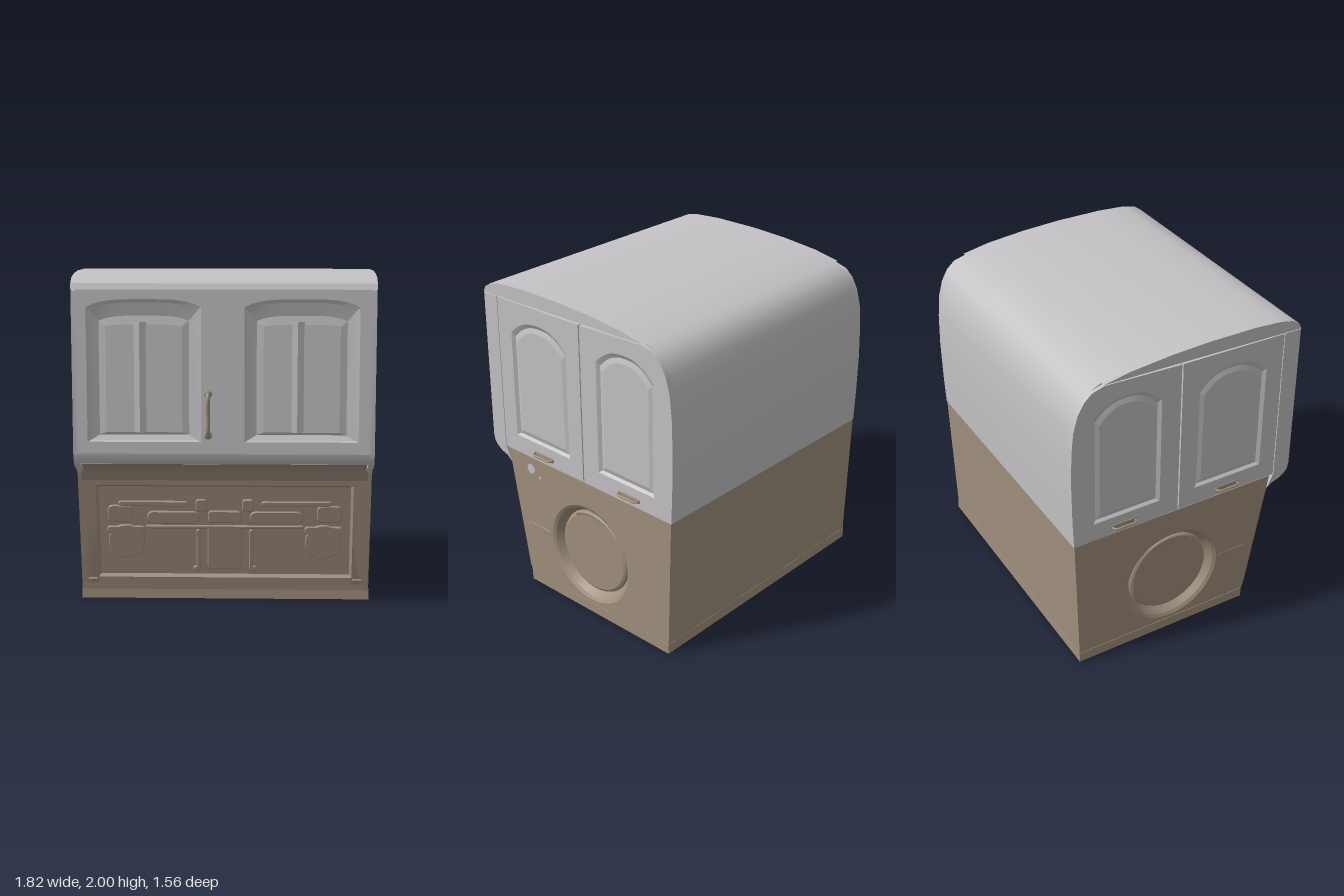
import * as THREE from 'three';
import { toCreasedNormals } from 'three/addons/utils/BufferGeometryUtils.js';

const grey = new THREE.MeshStandardMaterial({ color: 0xc4c2c5 });
grey.name = 'shellGrey';
const brown = new THREE.MeshStandardMaterial({ color: 0xa0907e });
brown.name = 'bodyBrown';

const V = (x, y, z = 0) => new THREE.Vector3(x, y, z);

function add(parent, name, geo, mat, x = 0, y = 0, z = 0) {
  const m = new THREE.Mesh(geo, mat);
  m.name = name;
  m.position.set(x, y, z);
  parent.add(m);
  return m;
}

// Plate from an outline with optional holes, spanning z0..z1
function plate(outline, z0, z1, holes = []) {
  const s = new THREE.Shape(outline.map(p => new THREE.Vector2(p[0], p[1])));
  for (const h of holes) s.holes.push(new THREE.Path(h.map(p => new THREE.Vector2(p[0], p[1]))));
  const g = new THREE.ExtrudeGeometry(s, { depth: z1 - z0, bevelEnabled: false });
  g.translate(0, 0, z0);
  return toCreasedNormals(g, 0.55);
}

// Counter-clockwise panel outline with a curved top
function arched(x0, x1, y0, y1, drop, power) {
  const pts = [[x0, y0], [x1, y0]], n = 16;
  for (let i = 0; i <= n; i++) {
    const t = 1 - 2 * i / n;
    pts.push([(x0 + x1) / 2 + t * (x1 - x0) / 2, y1 - drop * Math.abs(t) ** power]);
  }
  return pts;
}

function circle(cx, cy, r, n = 48) {
  return Array.from({ length: n }, (_, i) => {
    const a = i / n * Math.PI * 2;
    return [cx + r * Math.cos(a), cy + r * Math.sin(a)];
  });
}

// Sloped rings between outlines at given depths, closed by a flat face
function pressed(levels) {
  const pos = [], put = (...ps) => ps.forEach(p => pos.push(...p));
  const loops = levels.map(([pts, d]) => pts.map(p => [p[0], p[1], d]));
  const n = loops[0].length, last = loops[loops.length - 1];
  const mid = [0, 1, 2].map(k => last.reduce((s, p) => s + p[k], 0) / n);
  for (let j = 0; j < n; j++) {
    const k = (j + 1) % n;
    for (let i = 0; i + 1 < loops.length; i++) {
      const a = loops[i], b = loops[i + 1];
      put(a[j], a[k], b[k], a[j], b[k], b[j]);
    }
    put(last[j], last[k], mid);
  }
  const g = new THREE.BufferGeometry();
  g.setAttribute('position', new THREE.Float32BufferAttribute(pos, 3));
  return toCreasedNormals(g, 0.14);
}

// Low rounded relief with a soft edge
function emboss(w, h, r, height = 0.008) {
  const s = new THREE.Shape(), x = w / 2, y = h / 2;
  s.absarc(x - r, y - r, r, 0, Math.PI / 2);
  s.absarc(-x + r, y - r, r, Math.PI / 2, Math.PI);
  s.absarc(-x + r, -y + r, r, Math.PI, Math.PI * 1.5);
  s.absarc(x - r, -y + r, r, Math.PI * 1.5, Math.PI * 2);
  return new THREE.ExtrudeGeometry(s, { depth: height / 2, curveSegments: 8, bevelSize: 0.006, bevelOffset: -0.006, bevelThickness: height / 2, bevelSegments: 1 });
}

// Bracket-shaped grip lying along local x, standing out along z
function grip(length, out, r) {
  const l = length / 2;
  const path = new THREE.CatmullRomCurve3([V(-l, 0, -0.005), V(-l, 0, out * 0.5), V(-l * 0.8, 0, out), V(0, 0, out), V(l * 0.8, 0, out), V(l, 0, out * 0.5), V(l, 0, -0.005)]);
  return new THREE.TubeGeometry(path, 32, r, 10);
}

const flip = pts => pts.map(([z, y]) => [-z, y]);

// Side profile of the roof, front to back, as (z, y)
const roof = [[0.73, 1.9], [0.715, 1.935], [0.67, 1.965], [0.58, 1.985], [0.4, 1.998], [0.1, 2], [-0.15, 1.99], [-0.4, 1.967], [-0.57, 1.935], [-0.64, 1.905], [-0.69, 1.86], [-0.73, 1.79], [-0.758, 1.69], [-0.772, 1.55], [-0.778, 1.35], [-0.775, 1.1], [-0.768, 0.9]];

function side() {
  const g = new THREE.Group();
  // Upper plates
  add(g, 'roofEdge', plate(flip(roof.slice(0, 9)), 0.84, 0.877), grey);
  add(g, 'cornerPost', plate(flip([[0.73, 1.895], [0.62, 1.897], [0.62, 0.905], [0.575, 0.81], [0.61, 0.84], [0.66, 0.855], [0.7, 0.88], [0.722, 0.91], [0.73, 0.95]]), 0.84, 0.875), grey);
  const doors = [
    ['frontSideDoor', [[0.615, 0.905], [0.615, 1.896], [-0.066, 1.908], [-0.066, 0.905]], -0.505, -0.04, 1.8, -0.27],
    ['rearSideDoor', [[-0.075, 0.905], [-0.075, 1.908], [-0.56, 1.928], ...roof.slice(9)], 0.2, 0.64, 1.825, 0.44],
  ];
  for (const [name, outline, x0, x1, top, hx] of doors) {
    const rim = arched(x0, x1, 1.02, top, 0.1, 2.4);
    add(g, name, plate(flip(outline), 0.845, 0.875, [rim]), grey);
    add(g, name + 'Panel', pressed([
      [rim, 0.875],
      [arched(x0 + 0.02, x1 - 0.02, 1.035, top - 0.025, 0.1, 2.4), 0.86],
      [arched(x0 + 0.045, x1 - 0.045, 1.065, top - 0.055, 0.095, 2.4), 0.869],
    ]), grey);
    add(g, name + 'HandlePlate', emboss(0.175, 0.034, 0.015), brown, hx, 0.95, 0.872);
    add(g, name + 'Handle', grip(0.15, 0.028, 0.007), brown, hx, 0.95, 0.875);
  }
  // Lower plate with its round recess
  const rim = circle(0.1, 0.41, 0.325);
  add(g, 'lowerSide', plate(flip([[0.59, 0.9], [0.45, 0.1], [0.43, 0.06], [-0.745, 0.06], [-0.765, 0.9]]), 0.77, 0.874, [rim]), brown);
  add(g, 'roundRecess', pressed([
    [rim, 0.874], [circle(0.1, 0.41, 0.305), 0.862], [circle(0.1, 0.41, 0.272), 0.815],
    [circle(0.1, 0.41, 0.265), 0.83], [circle(0.1, 0.41, 0.25), 0.838],
  ]), brown);
  const lug = new THREE.TorusGeometry(0.262, 0.014, 8, 20, 1.1);
  add(g, 'recessLug', lug.rotateZ(Math.PI / 2 - 0.55), brown, 0.1, 0.41, 0.836);
  add(g, 'sideSlot', emboss(0.21, 0.036, 0.017, 0.01), brown, -0.345, 0.415, 0.866);
  g.rotation.y = Math.PI / 2;
  return g;
}

export function createModel() {
  const model = new THREE.Group();
  model.name = 'cabin';

  // Upper shell
  const core = [...roof, [0.6, 0.9], [0.6, 0.885], [0.7, 0.885], [0.722, 0.91], [0.73, 0.95], [0.7, 0.95], [0.7, 1.9]];
  add(model, 'upperShell', plate(flip(core), -0.85, 0.85), grey).rotation.y = Math.PI / 2;
  const lip = [[0.565, 0.76], [0.588, 0.82], [0.613, 0.858], [0.65, 0.878], [0.7, 0.884], [0.55, 0.886]];
  add(model, 'undersideLip', plate(flip(lip), -0.85, 0.85), brown).rotation.y = Math.PI / 2;

  // Front face with two pressed panels
  const spans = [[-0.79, -0.13], [0.12, 0.78]];
  const rims = spans.map(([a, b]) => arched(a, b, 1.02, 1.845, 0.045, 4));
  add(model, 'frontFace', plate([[-0.85, 0.95], [0.85, 0.95], [0.85, 1.9], [-0.85, 1.9]], 0.69, 0.73, rims), grey);
  spans.forEach(([a, b], i) => {
    add(model, 'frontPanel', pressed([
      [rims[i], 0.73],
      [arched(a + 0.02, b - 0.02, 1.03, 1.825, 0.045, 4), 0.722],
      [arched(a + 0.07, b - 0.07, 1.06, 1.75, 0.03, 4), 0.707],
      [arched(a + 0.11, b - 0.11, 1.075, 1.7, 0.01, 4), 0.715],
    ]), grey);
    // Upright rib, steep on one flank
    const rib = plate([[-0.05, 0], [0.025, 0], [-0.015, -0.012]], 0, 0.64).rotateX(-Math.PI / 2);
    add(model, 'panelRib', rib, grey, (a + b) / 2 - 0.01, 1.075, 0.714);
  });
  const handle = add(model, 'frontHandle', grip(0.24, 0.04, 0.012), brown, -0.09, 1.18, 0.73);
  handle.rotation.z = Math.PI / 2;
  for (const y of [1.06, 1.3]) add(model, 'handleFoot', emboss(0.045, 0.045, 0.02, 0.014), brown, -0.09, y, 0.728);

  // Lower body and plinth
  add(model, 'lowerCore', plate(flip([[0.555, 0.9], [0.415, 0.1], [0.41, 0.05], [-0.745, 0.05], [-0.765, 0.9]]), -0.78, 0.78), brown).rotation.y = Math.PI / 2;
  add(model, 'plinth', new THREE.BoxGeometry(1.754, 0.065, 1.18), brown, 0, 0.0325, -0.157);

  // Slanted lower front with stamped relief
  const front = new THREE.Group();
  front.name = 'slantedFront';
  front.position.set(0, 0.1, 0.45);
  front.rotation.x = Math.atan(0.175);
  model.add(front);
  const rim = arched(-0.77, 0.77, 0.04, 0.64, 0, 2);
  add(front, 'frontFrame', plate([[-0.87, -0.04], [0.87, -0.04], [0.87, 0.8], [-0.87, 0.8]], -0.03, 0, [rim]), brown);
  add(front, 'frontRecess', pressed([[rim, 0], [arched(-0.755, 0.755, 0.055, 0.625, 0, 2), -0.022]]), brown);
  const relief = [
    ['centrePlate', 0, 0.23, 0.21, 0.28, 0.02], ['centreBridge', 0, 0.43, 0.2, 0.08, 0.02],
    ['crossBand', 0, 0.365, 0.95, 0.022, 0.01],
  ];
  for (const s of [-1, 1]) relief.push(
    ['slot', s * 0.31, 0.425, 0.32, 0.085, 0.04], ['roundBoss', s * 0.595, 0.27, 0.22, 0.22, 0.105],
    ['bossTop', s * 0.595, 0.345, 0.23, 0.05, 0.02], ['outerPad', s * 0.63, 0.45, 0.15, 0.11, 0.03],
    ['tallPad', s * 0.14, 0.505, 0.07, 0.08, 0.02], ['channel', s * 0.16, 0.215, 0.025, 0.27, 0.012],
    ['channelFoot', s * 0.175, 0.09, 0.04, 0.04, 0.018], ['upperBar', s * 0.43, 0.515, 0.42, 0.035, 0.016]);
  for (const [name, x, y, w, h, r] of relief) add(front, name, emboss(w, h, r, 0.014), brown, x, y, -0.026);
  for (const s of [-1, 1]) add(front, 'hingeTab', emboss(0.06, 0.02, 0.008, 0.01), brown, s * 0.805, 0.025, -0.004);

  // Sides, mirrored
  const left = side(), right = new THREE.Group();
  left.name = 'leftSide';
  right.name = 'rightSide';
  right.add(side());
  right.scale.x = -1;
  model.add(left, right);

  // Pale patches on the left side
  for (const [z, y, r] of [[0.395, 0.822, 0.033], [0.318, 0.786, 0.01]]) {
    add(model, 'palePatch', new THREE.CircleGeometry(r, 16), grey, 0.876, y, z).rotation.y = Math.PI / 2;
  }
  return model;
}
